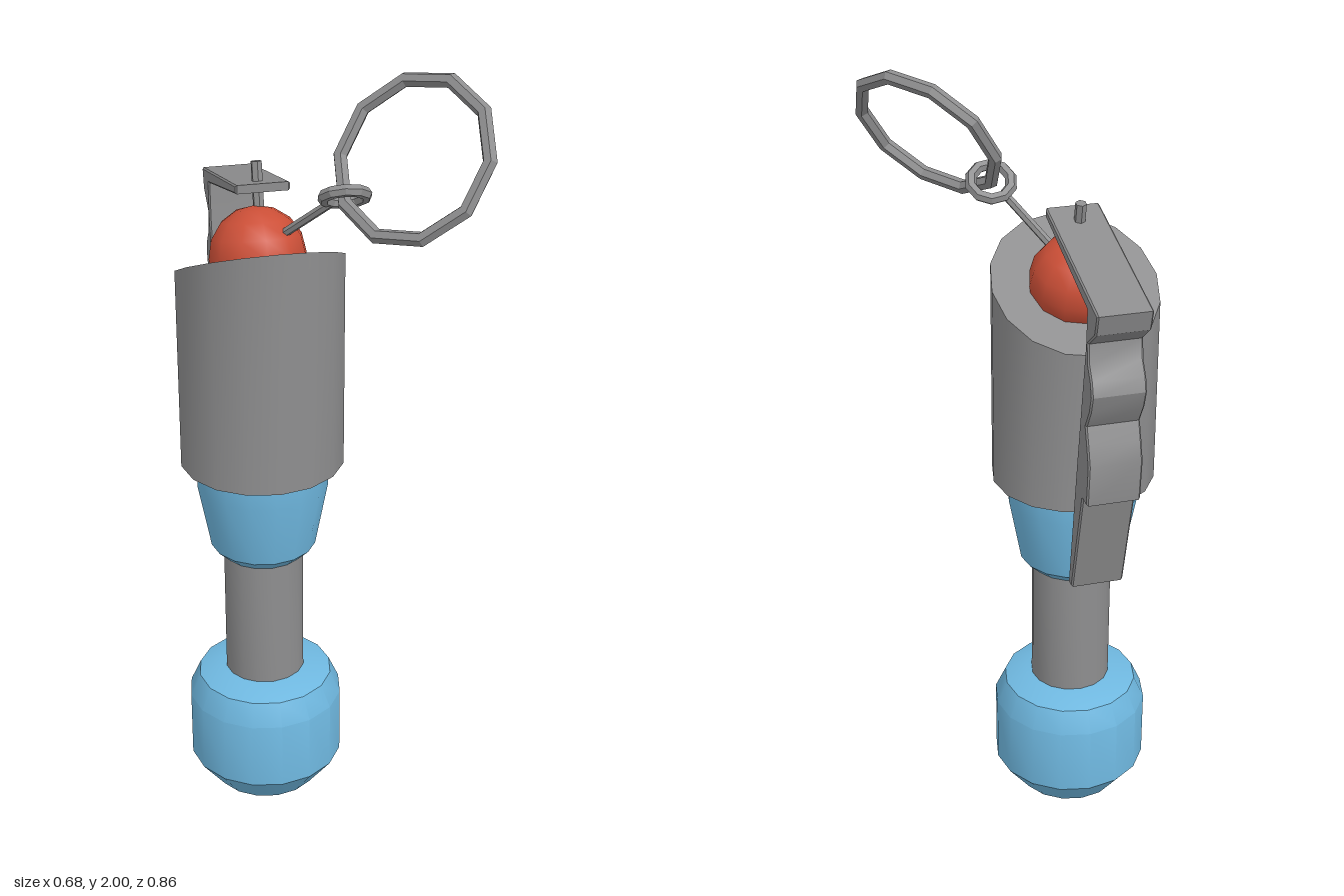
import * as THREE from 'three';
import { toCreasedNormals } from 'three/addons/utils/BufferGeometryUtils.js';

const AXIS_X = -0.13;

export function createModel() {
  const model = new THREE.Group();
  const mat = (name, color) => {
    const m = new THREE.MeshStandardMaterial({ color });
    m.name = name;
    return m;
  };
  const grey = mat('grey metal', 0x8e8e8f);
  const blue = mat('blue grip', 0x6fb8e0);
  const red = mat('red ball', 0xcc4f37);

  const add = (name, geometry, material, x = 0, y = 0, z = 0) => {
    const mesh = new THREE.Mesh(geometry, material);
    mesh.name = name;
    mesh.position.set(x, y, z);
    model.add(mesh);
    return mesh;
  };

  // Turned part with 16 sides, profile given from bottom to top
  const turned = (name, profile, material) => {
    const points = profile.map(([r, y]) => new THREE.Vector2(r, y));
    const geo = new THREE.LatheGeometry(points, 16, Math.PI / 2);
    return add(name, toCreasedNormals(geo, 0.45), material, AXIS_X);
  };

  // Straight six-sided rod between two points
  const rod = (name, from, to, radius) => {
    const a = new THREE.Vector3(...from), b = new THREE.Vector3(...to);
    const dir = b.clone().sub(a);
    const geo = toCreasedNormals(new THREE.CylinderGeometry(radius, radius, dir.length(), 6), 0.45);
    const mesh = add(name, geo, grey);
    mesh.position.copy(a).add(b).multiplyScalar(0.5);
    mesh.quaternion.setFromUnitVectors(new THREE.Vector3(0, 1, 0), dir.normalize());
  };

  // Low-poly ring facing along an axis
  const ring = (name, centre, axis, radius, tube, sides) => {
    const geo = new THREE.TorusGeometry(radius, tube, 6, sides);
    const mesh = add(name, toCreasedNormals(geo, 0.45), grey, ...centre);
    mesh.quaternion.setFromUnitVectors(new THREE.Vector3(0, 0, 1), new THREE.Vector3(...axis).normalize());
  };

  // Knob, shaft and collar
  turned('bottomKnob', [[0, 0], [0.14, 0], [0.205, 0.085], [0.205, 0.27], [0.178, 0.33], [0.12, 0.35], [0, 0.35]], blue);
  turned('shaft', [[0, 0.33], [0.105, 0.33], [0.105, 0.72], [0, 0.72]], grey);
  turned('collar', [[0, 0.7], [0.106, 0.7], [0.137, 0.73], [0.17, 0.905], [0.17, 0.975], [0, 0.975]], blue);

  // Body with a top that slopes down to the back
  const bodyGeo = new THREE.CylinderGeometry(0.21, 0.21, 0.53, 16);
  const p = bodyGeo.attributes.position;
  for (let i = 0; i < p.count; i++) {
    p.setY(i, p.getY(i) > 0 ? 1.5 + p.getZ(i) * 0.48 : 0.97);
  }
  add('body', toCreasedNormals(bodyGeo, 0.45), grey, AXIS_X);

  // Ball seated on the sloping top
  const ball = add('ball', new THREE.SphereGeometry(0.122, 12, 8), red, AXIS_X, 1.513, -0.02);
  ball.rotation.x = -0.25;

  // Safety lever: side profile (back, up) extruded across the width
  const outline = [
    [0, 1.68], [0.35, 1.592], [0.345, 1.5], [0.29, 1.16], [0.235, 0.79], [0.262, 0.79],
    [0.34, 1.09], [0.377, 1.09], [0.387, 1.2], [0.372, 1.25], [0.356, 1.295], [0.386, 1.345],
    [0.4, 1.39], [0.39, 1.425], [0.366, 1.46], [0.36, 1.51], [0.415, 1.555], [0.43, 1.608], [0, 1.702],
  ].map(([b, y]) => new THREE.Vector2(b, y));
  const bevel = 0.004;
  const leverGeo = new THREE.ExtrudeGeometry(new THREE.Shape(outline), {
    depth: 0.134 - 2 * bevel, bevelEnabled: true, bevelThickness: bevel,
    bevelSize: bevel, bevelOffset: -bevel, bevelSegments: 1,
  });
  leverGeo.rotateY(Math.PI / 2);
  add('lever', toCreasedNormals(leverGeo, 0.5), grey, -0.187 + bevel);

  // Pivot pin through the lever, and the pull pin
  rod('pivotPin', [-0.12, 1.58, -0.04], [-0.12, 1.735, -0.072], 0.014);
  rod('pullPin', [-0.09, 1.575, 0.03], [0.01, 1.69, 0.142], 0.011);

  // Linked eye and pull ring
  ring('pinEye', [0.037, 1.715, 0.172], [0.07, 0.82, -0.57], 0.051, 0.015, 10);
  ring('pullRing', [0.175, 1.822, 0.255], [0.65, -0.53, -0.55], 0.194, 0.018, 10);

  return model;
}
